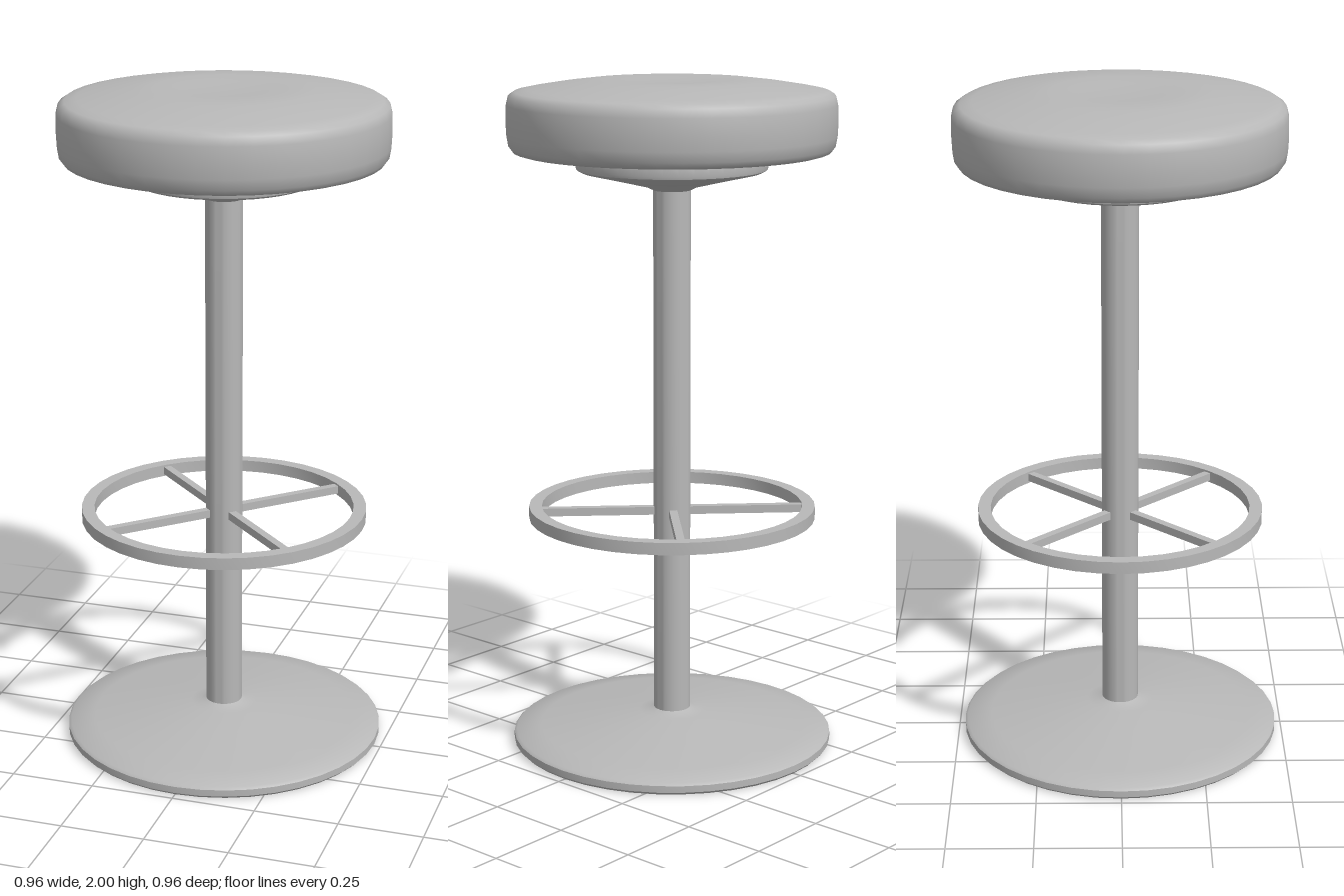
import * as THREE from 'three';
import { toCreasedNormals } from 'three/addons/utils/BufferGeometryUtils.js';

const SEGMENTS = 40;

export function createModel() {
  const stool = new THREE.Group();
  stool.name = 'barStool';
  const grey = new THREE.MeshStandardMaterial({ color: 0xb8b8b8 });
  grey.name = 'plainGrey';

  // Turns a [radius, height] profile, listed from bottom to top, about the y axis
  function turned(name, profile, crease = 0.6) {
    const points = profile.map(([r, y]) => new THREE.Vector2(r, y));
    const geometry = toCreasedNormals(new THREE.LatheGeometry(points, SEGMENTS), crease);
    const mesh = new THREE.Mesh(geometry, grey);
    mesh.name = name;
    stool.add(mesh);
  }

  // Shallow domed foot with a thin rim
  turned('base', [
    [0, 0], [0.474, 0], [0.482, 0.008], [0.482, 0.028], [0.474, 0.035],
    [0.4, 0.047], [0.31, 0.06], [0.2, 0.076], [0.1, 0.088], [0.07, 0.091], [0.054, 0.098],
  ]);

  turned('column', [[0.055, 0.085], [0.055, 1.7]]);

  // Flared plate under the cushion
  turned('seatSupport', [
    [0.055, 1.68], [0.075, 1.69], [0.17, 1.713], [0.265, 1.735],
    [0.278, 1.742], [0.28, 1.75], [0.28, 1.78], [0.272, 1.792],
  ]);

  // Soft cushion with rounded edges and a faint hollow on top
  turned('cushion', [
    [0, 1.79], [0.445, 1.79], [0.462, 1.795], [0.473, 1.81], [0.478, 1.84],
    [0.48, 1.88], [0.478, 1.93], [0.472, 1.955], [0.455, 1.966], [0.42, 1.973],
    [0.34, 1.986], [0.26, 1.996], [0.2, 2.0], [0.12, 1.995], [0, 1.992],
  ], 1.0);

  // Square-section foot ring
  turned('footRing', [
    [0.39, 0.7], [0.428, 0.7], [0.428, 0.736], [0.39, 0.736], [0.39, 0.7],
  ]);

  // Four diagonal spokes joining the ring to the column
  const spokeGeometry = new THREE.BoxGeometry(0.36, 0.024, 0.024).translate(0.22, 0.718, 0);
  for (let i = 0; i < 4; i++) {
    const spoke = new THREE.Mesh(spokeGeometry, grey);
    spoke.name = 'spoke' + (i + 1);
    spoke.rotation.y = Math.PI / 4 + (i * Math.PI) / 2;
    stool.add(spoke);
  }

  return stool;
}
